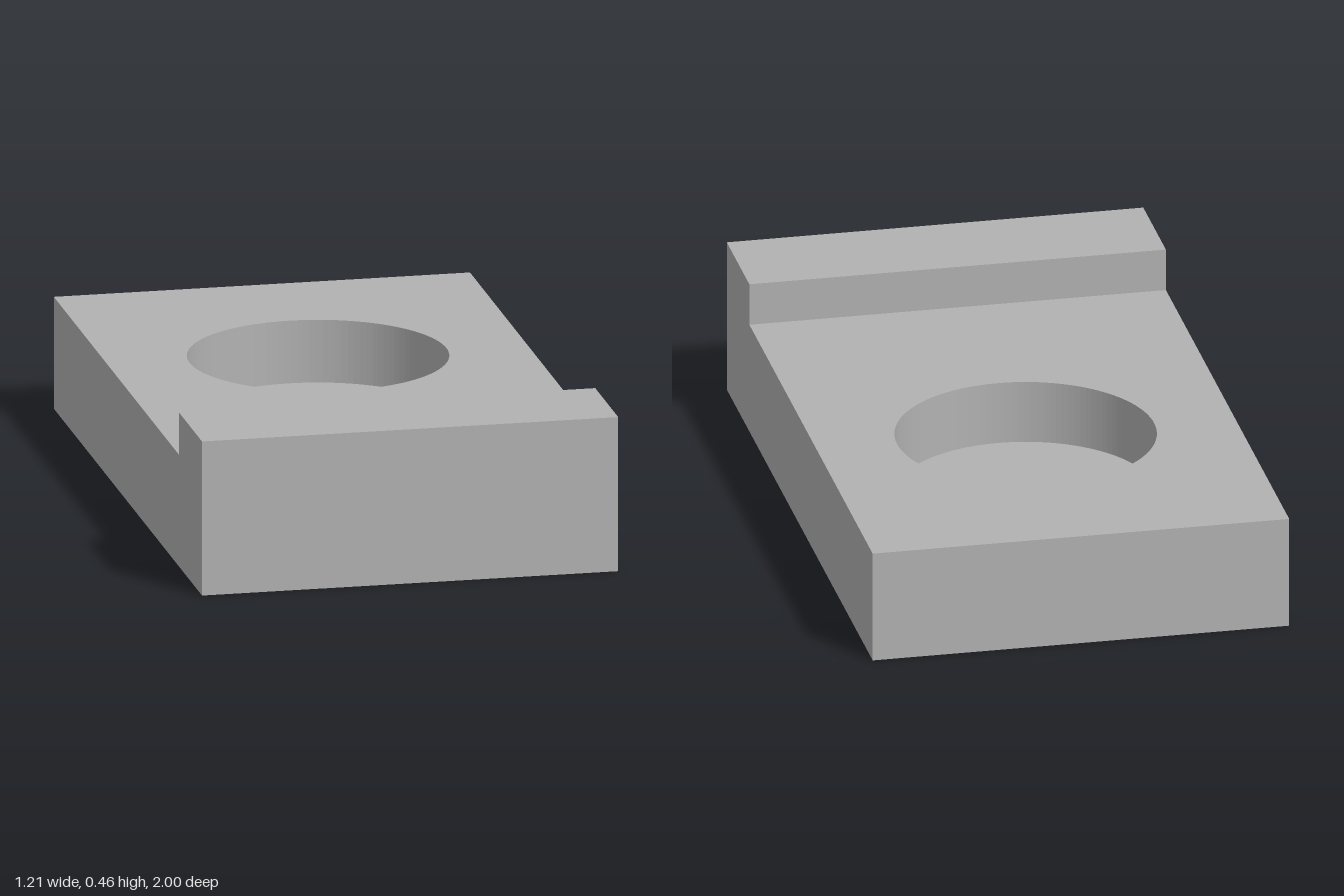
import * as THREE from 'three';

const WIDTH = 1.21;
const DECK_TOP = 0.33;
const LIP_TOP = 0.455;
const LIP_BACK = 0.69;
const POCKET = { z: -0.242, radius: 0.373, floor: 0.145 };

export function createModel() {
  const group = new THREE.Group();
  const grey = new THREE.MeshStandardMaterial({ color: 0xb2b2b2 });
  grey.name = 'grey';

  const add = (name, geometry) => {
    const mesh = new THREE.Mesh(geometry, grey);
    mesh.name = name;
    group.add(mesh);
    return mesh;
  };

  const deckLength = LIP_BACK + 1;
  const deckCentre = (LIP_BACK - 1) / 2;

  // Solid base, whose top is the floor of the round pocket
  add('base', new THREE.BoxGeometry(WIDTH, POCKET.floor, deckLength))
    .position.set(0, POCKET.floor / 2, deckCentre);

  // Deck with the round pocket cut through it (shape y becomes -z)
  const outline = new THREE.Shape([
    new THREE.Vector2(-WIDTH / 2, -LIP_BACK),
    new THREE.Vector2(WIDTH / 2, -LIP_BACK),
    new THREE.Vector2(WIDTH / 2, 1),
    new THREE.Vector2(-WIDTH / 2, 1),
  ]);
  outline.holes.push(new THREE.Path().absarc(0, -POCKET.z, POCKET.radius, 0, Math.PI * 2, true));
  const deck = new THREE.ExtrudeGeometry(outline, {
    depth: DECK_TOP - POCKET.floor,
    bevelEnabled: false,
    curveSegments: 64,
  });
  deck.rotateX(-Math.PI / 2);
  add('deckWithPocket', deck).position.y = POCKET.floor;

  // Raised block across the front end
  add('frontLip', new THREE.BoxGeometry(WIDTH, LIP_TOP, 1 - LIP_BACK))
    .position.set(0, LIP_TOP / 2, (1 + LIP_BACK) / 2);

  return group;
}
